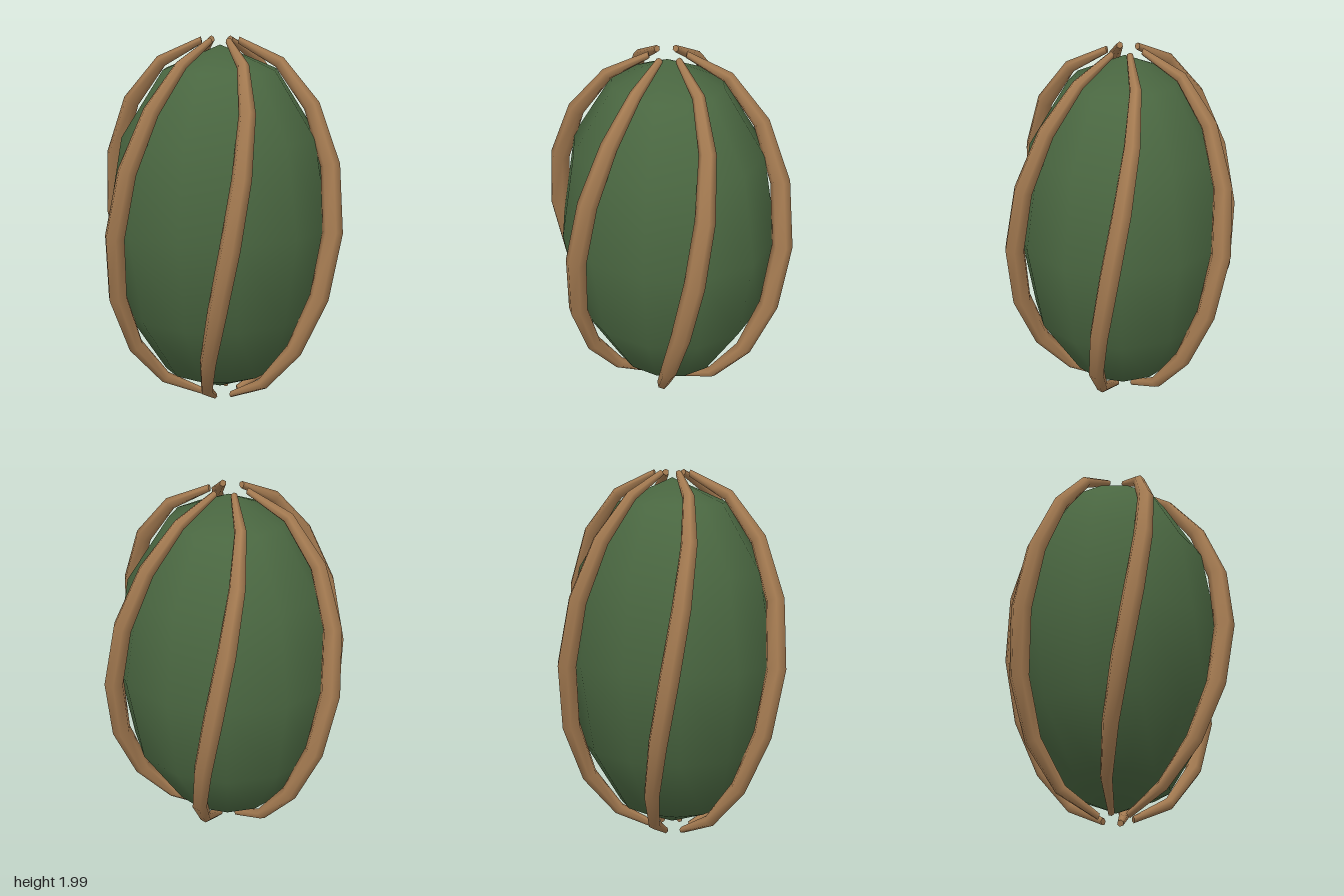
import * as THREE from 'three';

const SEGMENTS = 8, SIDES = 6;

// Rib path: runs pole to pole over an ellipsoid while twisting round the y axis
class RibCurve extends THREE.Curve {
  constructor(offset) { super(); this.offset = offset; }
  getPoint(t, target = new THREE.Vector3()) {
    const theta = 0.15 + (Math.PI - 0.3) * t;
    const phi = this.offset + 0.3 - 0.8 * t;
    const s = Math.sin(theta);
    return target.set(0.655 * s * Math.sin(phi), 1 + 0.99 * Math.cos(theta), 0.612 * s * Math.cos(phi));
  }
  // Even steps in angle rather than in length
  getPointAt(t, target) { return this.getPoint(t, target); }
  getTangentAt(t, target) { return this.getTangent(t, target); }
}

const ribRadius = (t) => 0.018 + 0.037 * Math.sin(Math.PI * t);

// Tapered tube: shrink each ring of a plain tube towards its centre
function taperedTube(curve) {
  const geo = new THREE.TubeGeometry(curve, SEGMENTS, 1, SIDES, false);
  const pos = geo.attributes.position, v = new THREE.Vector3();
  for (let i = 0; i < pos.count; i++) {
    const t = Math.floor(i / (SIDES + 1)) / SEGMENTS;
    const c = curve.getPoint(t);
    v.fromBufferAttribute(pos, i).sub(c).multiplyScalar(ribRadius(t)).add(c);
    pos.setXYZ(i, v.x, v.y, v.z);
  }
  return geo;
}

export function createModel() {
  const green = new THREE.MeshStandardMaterial({ color: 0x4a6741 });
  green.name = 'leafGreen';
  const brown = new THREE.MeshStandardMaterial({ color: 0xa67c52 });
  brown.name = 'vineBrown';
  const model = new THREE.Group();
  model.name = 'ribbedPod';

  // Smooth egg-shaped body
  const body = new THREE.Mesh(new THREE.SphereGeometry(1, 12, 6).scale(0.61, 0.955, 0.565), green);
  body.name = 'podBody';
  body.position.y = 1;
  model.add(body);

  // Six twisted ribs with closed ends
  for (let i = 0; i < 6; i++) {
    const curve = new RibCurve(i * Math.PI / 3);
    const rib = new THREE.Group();
    rib.name = `vineRib${i + 1}`;
    const tube = new THREE.Mesh(taperedTube(curve), brown);
    tube.name = 'vineTube';
    rib.add(tube);

    const frames = curve.computeFrenetFrames(SEGMENTS, false);
    for (const end of [0, 1]) {
      const k = end * SEGMENTS, sign = end ? 1 : -1;
      const cap = new THREE.Mesh(new THREE.CircleGeometry(ribRadius(end), SIDES), brown);
      cap.name = 'vineEnd';
      cap.position.copy(curve.getPoint(end));
      // Line the cap's corners up with the tube's
      const z = frames.tangents[k].clone().multiplyScalar(sign);
      const x = frames.normals[k].clone();
      const y = new THREE.Vector3().crossVectors(z, x);
      cap.quaternion.setFromRotationMatrix(new THREE.Matrix4().makeBasis(x, y, z));
      rib.add(cap);
    }
    model.add(rib);
  }
  return model;
}
